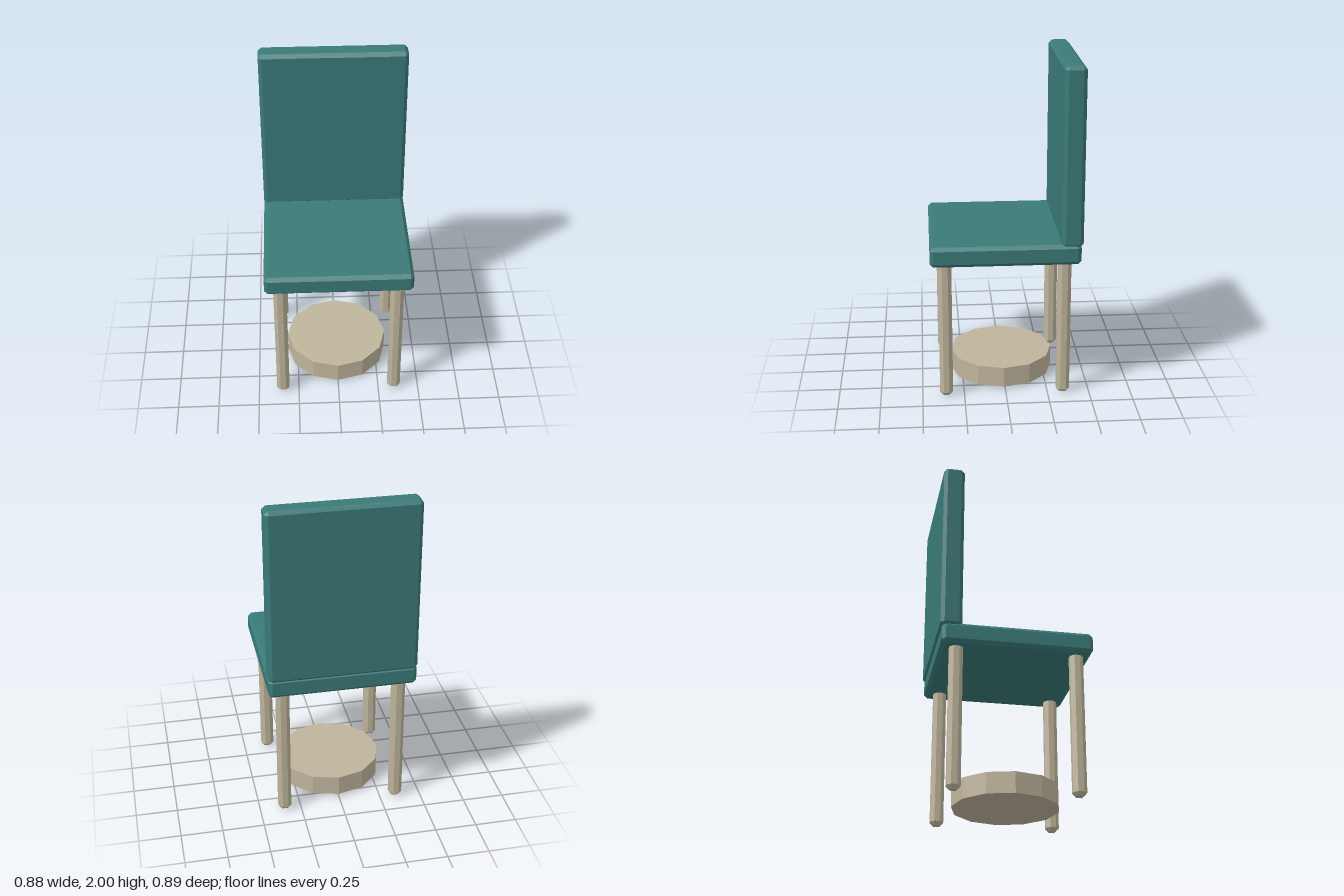
import * as THREE from 'three';
import { ConvexGeometry } from 'three/addons/geometries/ConvexGeometry.js';

// Box with every edge cut flat by c and every corner cut to a triangle
function chamferedBox(w, h, d, c) {
  const points = [];
  for (const x of [-w / 2, w / 2]) for (const y of [-h / 2, h / 2]) for (const z of [-d / 2, d / 2]) {
    const ix = x - Math.sign(x) * c, iy = y - Math.sign(y) * c, iz = z - Math.sign(z) * c;
    points.push(
      new THREE.Vector3(x, iy, iz),
      new THREE.Vector3(ix, y, iz),
      new THREE.Vector3(ix, iy, z)
    );
  }
  return new ConvexGeometry(points);
}

export function createModel() {
  const model = new THREE.Group();
  model.name = 'chair';

  const upholstery = new THREE.MeshStandardMaterial({ color: 0x3a7a78, flatShading: true });
  upholstery.name = 'teal upholstery';
  const frame = new THREE.MeshStandardMaterial({ color: 0xbfb59c, flatShading: true });
  frame.name = 'beige frame';

  const add = (name, geometry, material, x, y, z) => {
    const mesh = new THREE.Mesh(geometry, material);
    mesh.name = name;
    mesh.position.set(x, y, z);
    model.add(mesh);
  };

  // Seat cushion and tall backrest
  add('seat', chamferedBox(0.876, 0.122, 0.876, 0.021), upholstery, 0, 0.902, 0.005);
  add('backrest', chamferedBox(0.876, 1.056, 0.125, 0.021), upholstery, 0, 1.472, -0.3805);

  // Four legs, their tops sunk into the seat
  const leg = chamferedBox(0.078, 0.88, 0.078, 0.022);
  for (const [side, x] of [['Left', 0.348], ['Right', -0.348]]) {
    add('front' + side + 'Leg', leg, frame, x, 0.44, 0.357);
    add('back' + side + 'Leg', leg, frame, x, 0.44, -0.343);
  }

  // Twelve-sided disc between the legs, just off the ground
  add('baseDisc', new THREE.CylinderGeometry(0.313, 0.313, 0.124, 12), frame, 0, 0.078, 0.007);

  return model;
}
